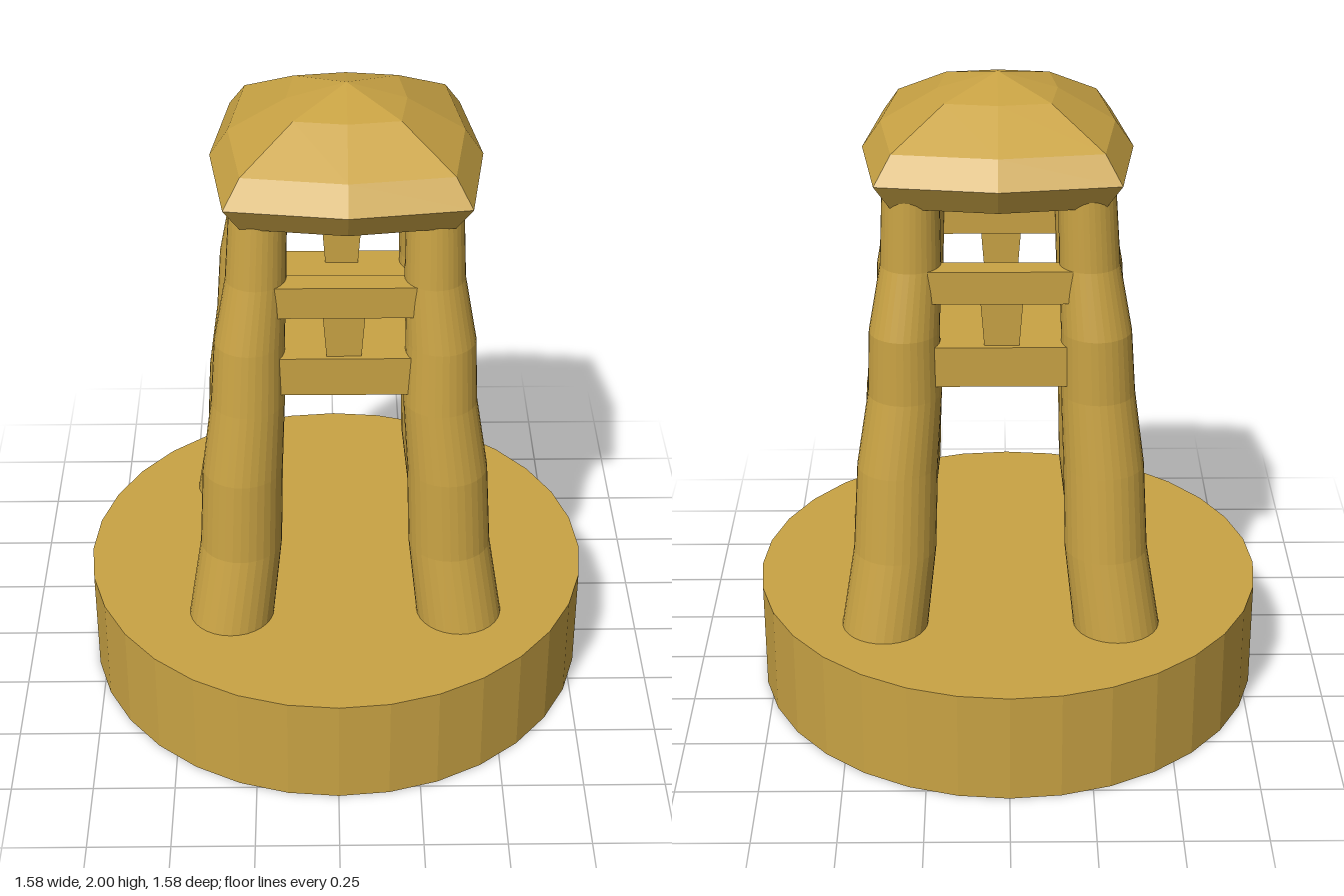
import * as THREE from 'three';

const wood = new THREE.MeshStandardMaterial({ color: 0xc9a344 });
wood.name = 'ochre';

// Faceted mesh: every face gets its own normal
function addPart(parent, name, geometry) {
  const flat = geometry.index ? geometry.toNonIndexed() : geometry;
  flat.computeVertexNormals();
  const mesh = new THREE.Mesh(flat, wood);
  mesh.name = name;
  parent.add(mesh);
  return mesh;
}

// Box given by its low and high limits on each axis
function block([x0, x1], [y0, y1], [z0, z1]) {
  return new THREE.BoxGeometry(x1 - x0, y1 - y0, z1 - z0)
    .translate((x0 + x1) / 2, (y0 + y1) / 2, (z0 + z1) / 2);
}

// Leg rings: heights, radii, and centre lines for each side
const ringY = [0.33, 0.6, 0.87, 1.1, 1.3, 1.5, 1.73];
const ringR = [0.132, 0.125, 0.121, 0.11, 0.104, 0.089, 0.083];
const lines = {
  right: [-0.332, -0.295, -0.285, -0.265, -0.257, -0.235, -0.225],
  left: [0.382, 0.345, 0.333, 0.307, 0.305, 0.284, 0.28],
  front: [0.322, 0.285, 0.278, 0.262, 0.248, 0.23, 0.216],
  back: [-0.36, -0.325, -0.3, -0.282, -0.285, -0.261, -0.26],
};

// Bent, tapering log following the ring centres
function legGeometry(xs, zs) {
  const last = ringY.length - 1;
  const geo = new THREE.CylinderGeometry(1, 1, last, 32, last);
  const p = geo.attributes.position;
  for (let i = 0; i < p.count; i++) {
    const k = Math.round(p.getY(i) + last / 2);
    p.setXYZ(i, xs[k] + p.getX(i) * ringR[k], ringY[k], zs[k] + p.getZ(i) * ringR[k]);
  }
  return geo;
}

// Eight-sided dome, with alternate corners pushed out to make a bulging square
function roofGeometry() {
  const profile = [[0, 1.69], [0.35, 1.69], [0.4, 1.77], [0.345, 1.85], [0.175, 1.95], [0, 2]]
    .map(([r, y]) => new THREE.Vector2(r, y));
  const geo = new THREE.LatheGeometry(profile, 8);
  const p = geo.attributes.position;
  for (let i = 0; i < p.count; i++) {
    const s = Math.floor(i / profile.length) % 2 ? 1.24 : 1;
    p.setXYZ(i, p.getX(i) * s + 0.03, p.getY(i), p.getZ(i) * s - 0.015);
  }
  return geo;
}

// Short post, wider at the top
function postGeometry(x, z, alongX) {
  const geo = new THREE.BoxGeometry(alongX ? 0.1 : 0.06, 0.16, alongX ? 0.06 : 0.1);
  const p = geo.attributes.position;
  for (let i = 0; i < p.count; i++) {
    if (p.getY(i) < 0) continue;
    if (alongX) p.setX(i, p.getX(i) * 1.25);
    else p.setZ(i, p.getZ(i) * 1.25);
  }
  return geo.translate(x, 1.33, z);
}

export function createModel() {
  const model = new THREE.Group();
  model.name = 'watchtower';

  // Round base
  addPart(model, 'base', new THREE.CylinderGeometry(0.79, 0.79, 0.35, 32).translate(0, 0.175, 0));

  // Four legs
  const legs = new THREE.Group();
  legs.name = 'legs';
  for (const fz of ['front', 'back'])
    for (const sx of ['left', 'right'])
      addPart(legs, `${fz}${sx === 'left' ? 'Left' : 'Right'}Leg`, legGeometry(lines[sx], lines[fz]));
  model.add(legs);

  // Platform
  addPart(model, 'platform', block([-0.28, 0.335], [1.14, 1.265], [-0.34, 0.305]));

  // Railings on three sides; the ladder side stays open
  const railings = new THREE.Group();
  railings.name = 'railings';
  const railY = [1.4, 1.5];
  addPart(railings, 'frontRail', block([-0.24, 0.28], railY, [0.225, 0.3]));
  addPart(railings, 'backRail', block([-0.24, 0.28], railY, [-0.335, -0.26]));
  addPart(railings, 'rightRail', block([-0.28, -0.205], railY, [-0.26, 0.23]));
  addPart(railings, 'frontPost', postGeometry(0.02, 0.26, true));
  addPart(railings, 'backPost', postGeometry(0.02, -0.295, true));
  addPart(railings, 'rightPost', postGeometry(-0.24, 0, false));
  model.add(railings);

  // Ladder rungs between the two left legs: bottom, outer x, back z, front z
  const ladder = new THREE.Group();
  ladder.name = 'ladder';
  [[0.488, 0.455, -0.255, 0.22], [0.718, 0.44, -0.225, 0.23], [0.945, 0.4, -0.24, 0.22]]
    .forEach(([y, x, z0, z1], i) =>
      addPart(ladder, `rung${i + 1}`, block([x - 0.13, x], [y, y + 0.12], [z0, z1])));
  model.add(ladder);

  // Roof
  addPart(model, 'roof', roofGeometry());
  return model;
}
